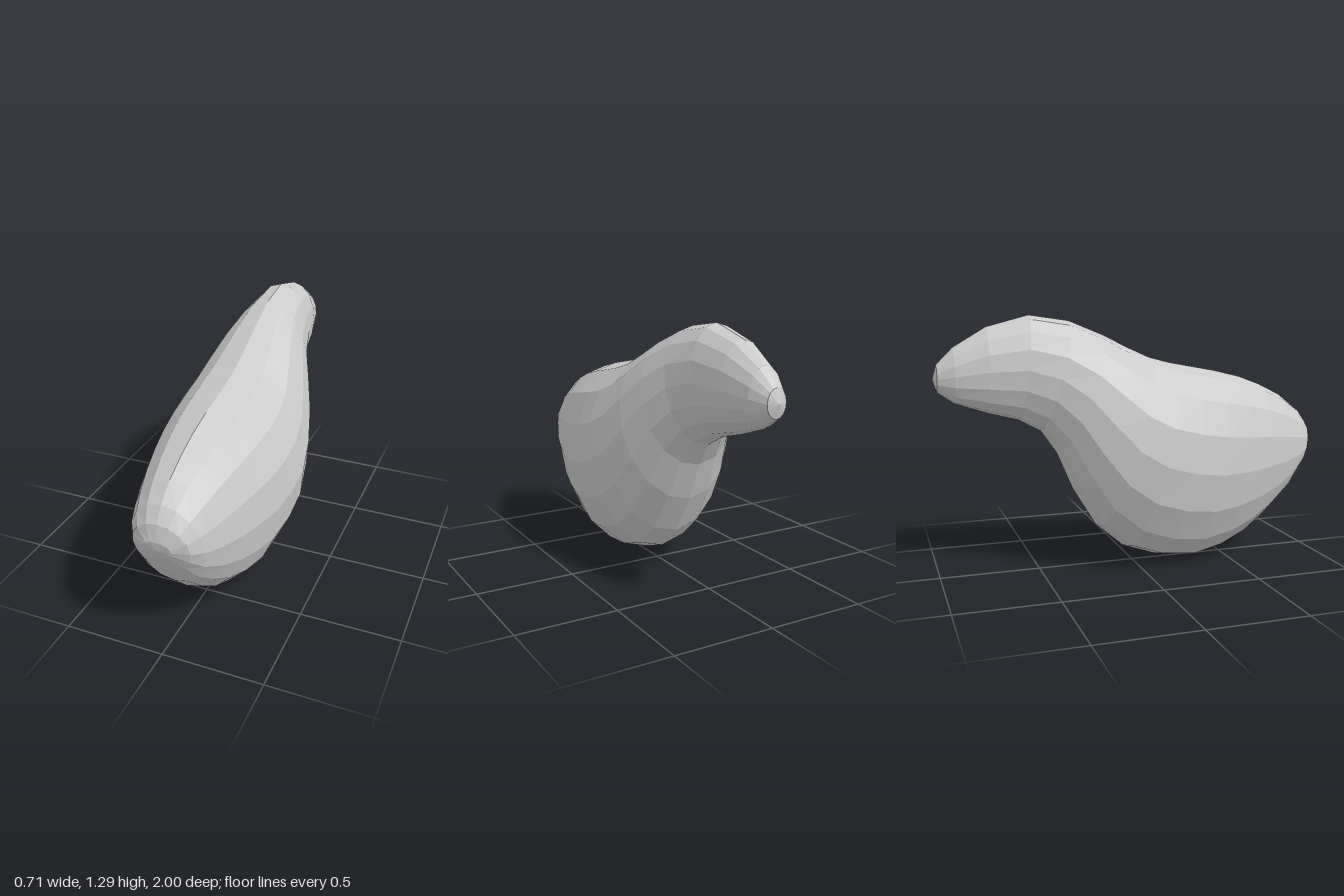
import * as THREE from 'three';

const SIDES = 16;

// Tilted oval sections, front to back: [top z, top y, bottom z, bottom y, half width]
const SECTIONS = [
  [1.0, 0.63, 0.98, 0.54, 0.07],
  [0.98, 0.71, 0.92, 0.43, 0.14],
  [0.93, 0.78, 0.84, 0.31, 0.18],
  [0.84, 0.85, 0.72, 0.19, 0.22],
  [0.72, 0.91, 0.6, 0.1, 0.26],
  [0.6, 0.955, 0.46, 0.035, 0.295],
  [0.46, 0.99, 0.3, 0.0, 0.33],
  [0.33, 1.015, 0.12, 0.02, 0.35],
  [0.2, 1.04, -0.05, 0.08, 0.355],
  [0.09, 1.07, -0.2, 0.21, 0.335],
  [-0.02, 1.12, -0.32, 0.41, 0.3],
  [-0.16, 1.19, -0.4, 0.6, 0.25],
  [-0.33, 1.26, -0.48, 0.715, 0.195],
  [-0.53, 1.29, -0.59, 0.775, 0.157],
  [-0.74, 1.235, -0.74, 0.815, 0.127],
  [-0.9, 1.14, -0.9, 0.87, 0.09],
  [-0.98, 1.06, -0.98, 0.925, 0.05],
];

// Skins the sections with quads and closes both ends with fans
function loft(sections, frontTip, backTip) {
  const points = [];
  const index = [];
  for (const [topZ, topY, lowZ, lowY, width] of sections) {
    for (let j = 0; j < SIDES; j++) {
      const angle = (j / SIDES) * Math.PI * 2;
      const t = (1 + Math.cos(angle)) / 2;
      points.push(
        Math.sin(angle) * width,
        THREE.MathUtils.lerp(lowY, topY, t),
        THREE.MathUtils.lerp(lowZ, topZ, t)
      );
    }
  }
  const last = sections.length - 1;
  const front = sections.length * SIDES;
  const back = front + 1;
  points.push(...frontTip, ...backTip);

  const at = (i, j) => i * SIDES + (j % SIDES);
  for (let j = 0; j < SIDES; j++) {
    for (let i = 0; i < last; i++) {
      const a = at(i, j), b = at(i, j + 1), c = at(i + 1, j + 1), d = at(i + 1, j);
      index.push(a, b, d, b, c, d);
    }
    index.push(front, at(0, j + 1), at(0, j));
    index.push(back, at(last, j), at(last, j + 1));
  }

  const geometry = new THREE.BufferGeometry();
  geometry.setAttribute('position', new THREE.Float32BufferAttribute(points, 3));
  geometry.setIndex(index);
  geometry.computeVertexNormals();
  return geometry;
}

export function createModel() {
  const group = new THREE.Group();
  group.name = 'gourd';

  // One continuous skin: full belly, bent neck and rounded narrow end
  const body = new THREE.Mesh(
    loft(SECTIONS, [0, 0.585, 0.995], [0, 0.99, -1]),
    new THREE.MeshStandardMaterial({ color: 0xcccccc, flatShading: true })
  );
  body.name = 'body';
  group.add(body);
  return group;
}
